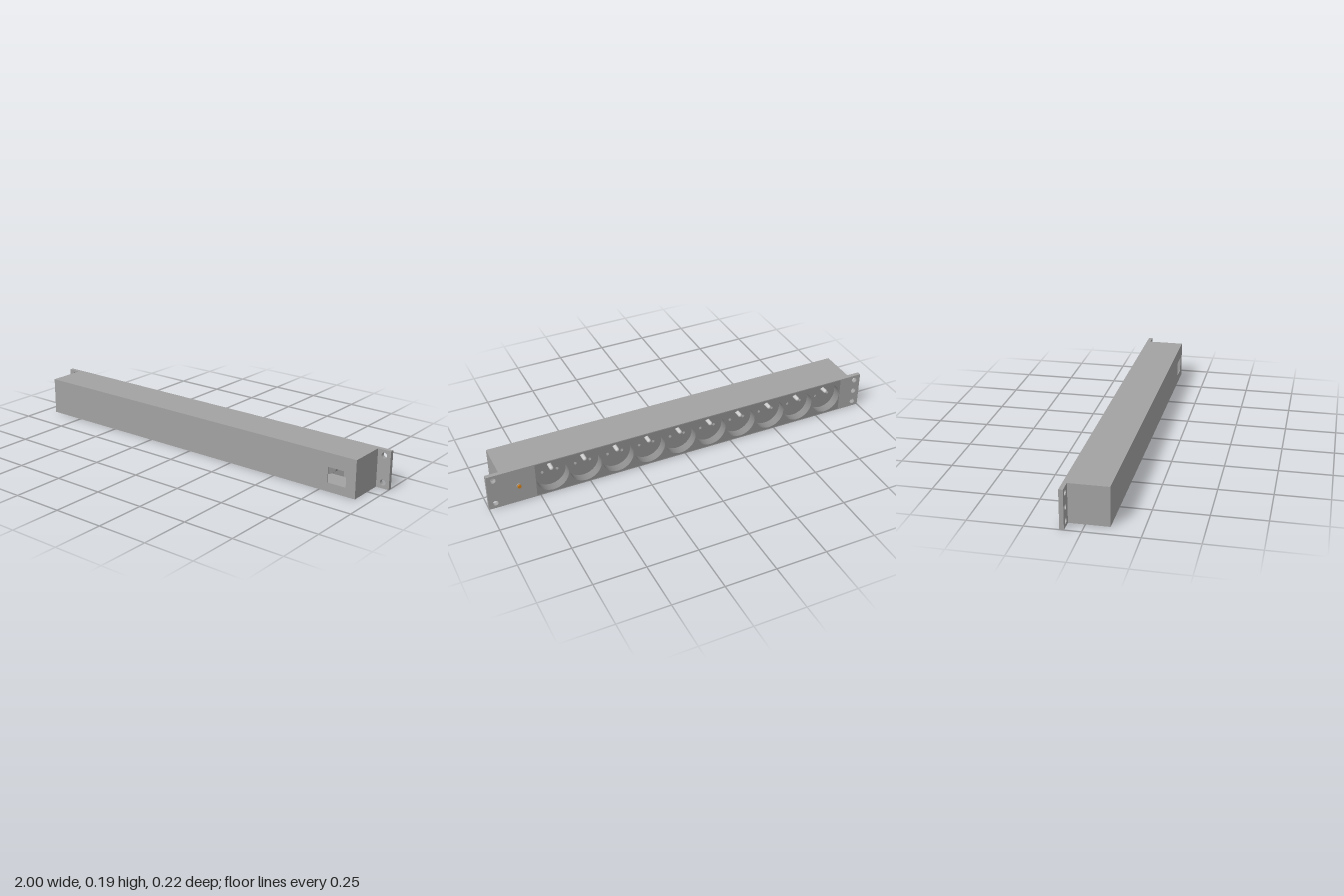
import * as THREE from 'three';

const steel = new THREE.MeshStandardMaterial({ color: 0xa2a2a2 });
const plastic = new THREE.MeshStandardMaterial({ color: 0x8c8c8c });
const plasticThin = new THREE.MeshStandardMaterial({ color: 0x8c8c8c, side: THREE.DoubleSide });
const pinMetal = new THREE.MeshStandardMaterial({ color: 0xcccccc });
const amber = new THREE.MeshStandardMaterial({ color: 0xd07c14 });

const H = 0.185;          // overall height
const MID = H / 2;
const BACK = -0.095;      // outer face of the mounting plate
const PITCH = 0.165;      // socket spacing
const COUNT = 10;
const FIRST = 0.685;      // centre of the first socket
const CUP_R = 0.08, CUP_DEPTH = 0.045;

function rect(x0, y0, x1, y1, Type = THREE.Shape) {
  const s = new Type();
  s.moveTo(x0, y0);
  s.lineTo(x1, y0);
  s.lineTo(x1, y1);
  s.lineTo(x0, y1);
  s.closePath();
  return s;
}

function circle(x, y, r, Type = THREE.Path) {
  const s = new Type();
  s.absarc(x, y, r, 0, Math.PI * 2, false);
  return s;
}

function add(parent, name, geometry, material, x = 0, y = 0, z = 0) {
  const mesh = new THREE.Mesh(geometry, material);
  mesh.name = name;
  mesh.position.set(x, y, z);
  parent.add(mesh);
}

// Flat part extruded along z from z0 to z1
function slab(parent, name, shape, z0, z1, material, segments = 12) {
  const geometry = new THREE.ExtrudeGeometry(shape, {
    depth: z1 - z0, bevelEnabled: false, curveSegments: segments,
  });
  add(parent, name, geometry, material, 0, 0, z0);
}

// Cylinder whose axis runs along z
function rod(parent, name, r, z0, z1, x, y, material) {
  const geometry = new THREE.CylinderGeometry(r, r, z1 - z0, 20).rotateX(Math.PI / 2);
  add(parent, name, geometry, material, x, y, (z0 + z1) / 2);
}

// Round recess with an earth pin above two contact holes
function socket(x) {
  const g = new THREE.Group();
  g.name = 'socket';
  const floorZ = BACK + CUP_DEPTH;
  const wall = new THREE.CylinderGeometry(CUP_R, CUP_R, CUP_DEPTH, 48, 1, true).rotateX(Math.PI / 2);
  add(g, 'socketWall', wall, plasticThin, 0, MID, BACK + CUP_DEPTH / 2);

  const floor = circle(0, MID, CUP_R, THREE.Shape);
  for (const s of [1, -1]) floor.holes.push(circle(s * 0.037, MID, 0.008));
  slab(g, 'socketFloor', floor, floorZ, floorZ + 0.02, plastic, 24);

  const py = MID + 0.038, tipZ = floorZ - 0.034;
  rod(g, 'earthPin', 0.01, tipZ, floorZ, 0, py, pinMetal);
  const tip = new THREE.SphereGeometry(0.01, 20, 8, 0, Math.PI * 2, 0, Math.PI / 2).rotateX(-Math.PI / 2);
  add(g, 'earthPinTip', tip, pinMetal, 0, py, tipZ);

  g.position.x = x;
  return g;
}

export function createModel() {
  const model = new THREE.Group();
  model.name = 'powerStrip';

  // Hollow housing made of sheet panels, front one cut for the inlet
  const W = 0.935, z0 = -0.075, z1 = 0.108, t = 0.004;
  const housing = new THREE.Group();
  housing.name = 'housing';
  model.add(housing);
  const front = rect(-W, 0, W, H);
  front.holes.push(rect(0.792, 0.043, 0.886, 0.118, THREE.Path));
  slab(housing, 'frontPanel', front, z1 - t, z1, steel);
  const depth = z1 - t - z0, zMid = (z0 + z1 - t) / 2;
  for (const [name, y] of [['bottomPanel', t / 2], ['topPanel', H - t / 2]])
    add(housing, name, new THREE.BoxGeometry(2 * W, t, depth), steel, 0, y, zMid);
  for (const [name, s] of [['leftEnd', 1], ['rightEnd', -1]])
    add(housing, name, new THREE.BoxGeometry(t, H - 2 * t, depth), steel, s * (W - t / 2), MID, zMid);

  // Mounting plate with screw holes: three at one end, two at the other
  const m0 = FIRST + PITCH / 2 - PITCH * COUNT, m1 = FIRST + PITCH / 2;
  const mLow = MID - 0.088, mHigh = MID + 0.088;
  const plate = rect(-1, 0, 1, H);
  plate.holes.push(rect(m0, mLow, m1, mHigh, THREE.Path));
  for (const [x, y] of [[-0.968, 0.028], [-0.968, MID], [-0.968, 0.158], [0.968, 0.028], [0.968, 0.158]])
    plate.holes.push(circle(x, y, 0.014));
  slab(model, 'mountingPlate', plate, BACK, z0, steel);

  // Socket strip set flush into the plate
  const strip = rect(m0, mLow, m1, mHigh);
  for (let i = 0; i < COUNT; i++) {
    const x = FIRST - i * PITCH;
    strip.holes.push(circle(x, MID, CUP_R));
    model.add(socket(x));
  }
  slab(model, 'socketStrip', strip, BACK, z0, plastic, 24);

  // Indicator lamp through the plate
  const lx = 0.85;
  rod(model, 'lampCollar', 0.012, BACK - 0.005, BACK, lx, MID, steel);
  rod(model, 'lamp', 0.009, BACK - 0.013, z0 + 0.012, lx, MID, amber);

  return model;
}
